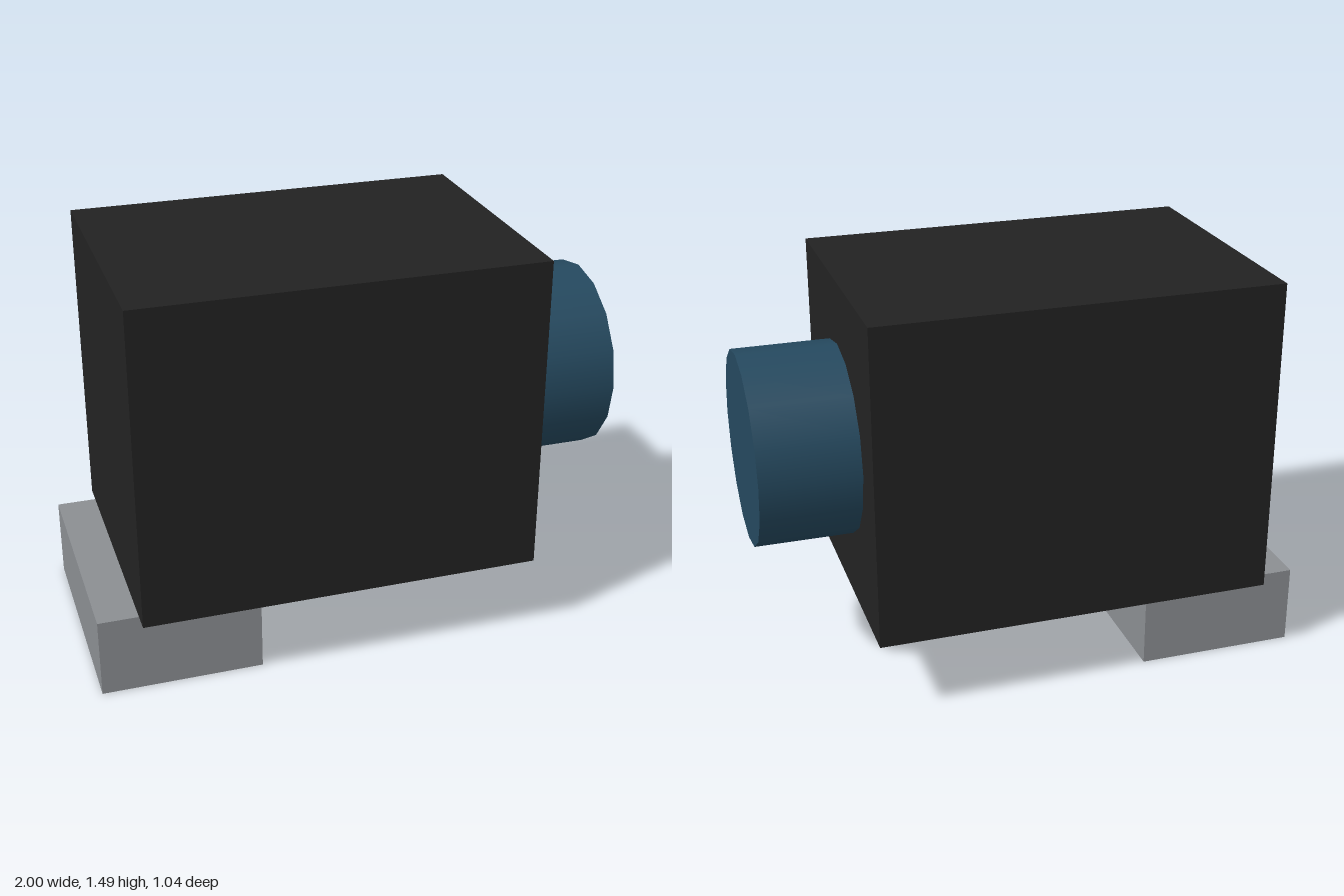
import * as THREE from 'three';

const material = (name, color) => {
  const m = new THREE.MeshStandardMaterial({ color });
  m.name = name;
  return m;
};

export function createModel() {
  const group = new THREE.Group();
  const black = material('black', 0x222222);
  const blue = material('lens blue', 0x25495f);
  const grey = material('mount grey', 0x8b8e92);

  const add = (name, geometry, mat, x, y, z = 0) => {
    const mesh = new THREE.Mesh(geometry, mat);
    mesh.name = name;
    mesh.position.set(x, y, z);
    group.add(mesh);
    return mesh;
  };

  // Main housing
  add('housing', new THREE.BoxGeometry(1.488, 1.194, 1.042), black, -0.107, 0.896);

  // Mounting block under the rear end
  add('mount', new THREE.BoxGeometry(0.597, 0.299, 0.896), grey, -0.7015, 0.1495);

  // Smooth-sided lens barrel, 16 sides, pointing along +x
  const lens = add('lens', new THREE.CylinderGeometry(0.358, 0.358, 0.38, 16), blue, 0.81, 0.896);
  lens.rotation.z = -Math.PI / 2;

  return group;
}
